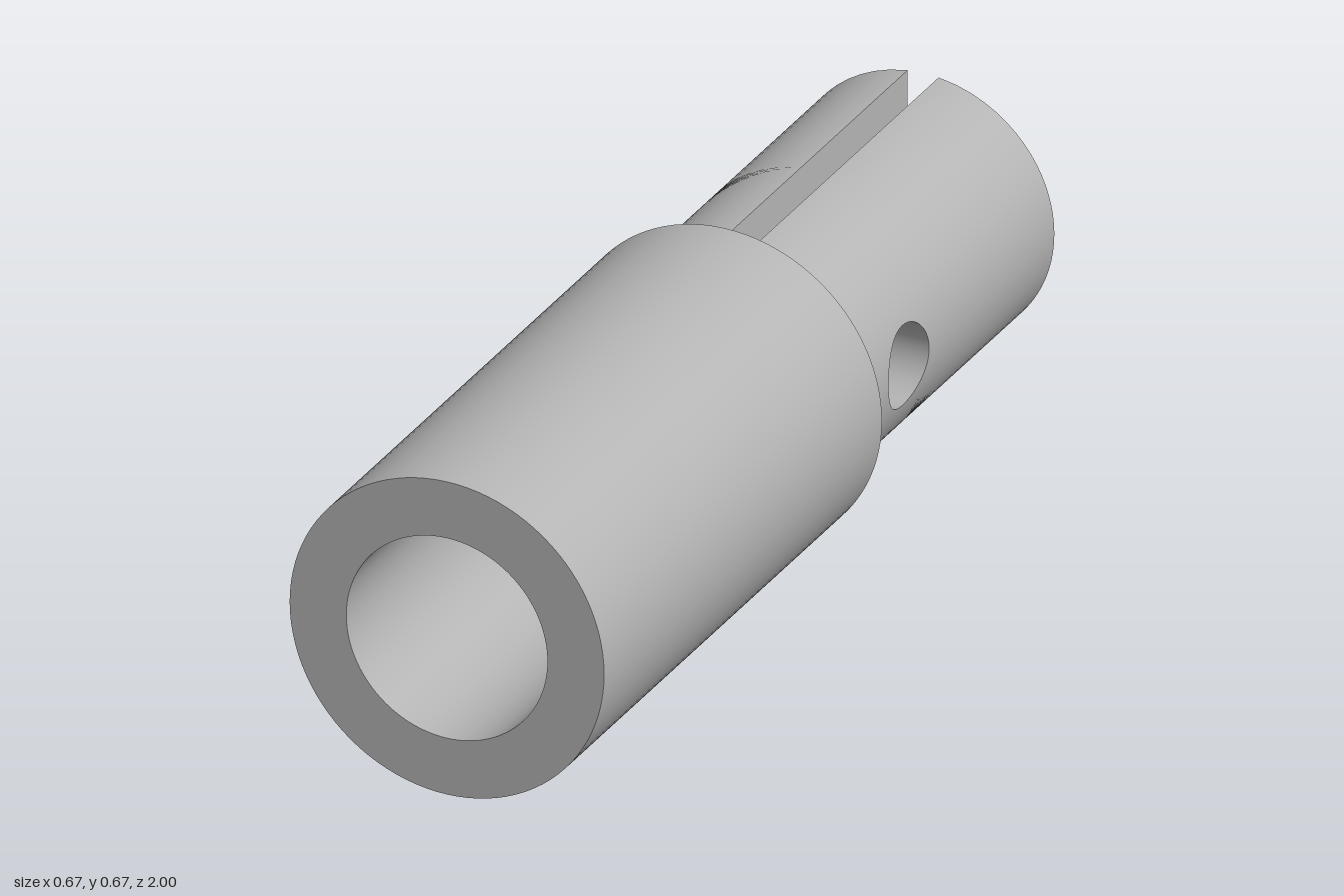
import * as THREE from 'three';
import { mergeGeometries } from 'three/addons/utils/BufferGeometryUtils.js';

const R = 0.333, STEM_R = 0.278, BORE_R = 0.213;      // radii
const STEP_Z = -0.167, FILLET = R - STEM_R, BORE_Z = 0; // lengthwise positions
const SLOT = 0.033, HOLE_R = 0.085, HOLE_Z = -0.389;  // slot half width, cross hole
const PATCH = STEP_Z - FILLET - HOLE_Z;               // half length of the area round the hole

// Grid surface; fn(u, v) returns a position and the outward normal
function surface(nu, nv, fn) {
  const pos = [], nor = [], uv = [], idx = [];
  const P = [], N = [];
  for (let j = 0; j <= nv; j++) for (let i = 0; i <= nu; i++) {
    const [p, n] = fn(i / nu, j / nv);
    n.normalize();
    P.push(p); N.push(n);
    pos.push(p.x, p.y, p.z); nor.push(n.x, n.y, n.z); uv.push(i / nu, j / nv);
  }
  const e1 = new THREE.Vector3(), e2 = new THREE.Vector3();
  const tri = (a, b, c) => {
    e1.subVectors(P[b], P[a]); e2.subVectors(P[c], P[a]); e1.cross(e2);
    const facing = e1.dot(N[a]) + e1.dot(N[b]) + e1.dot(N[c]);
    idx.push(...(facing < 0 ? [a, c, b] : [a, b, c]));
  };
  for (let j = 0; j < nv; j++) for (let i = 0; i < nu; i++) {
    const a = j * (nu + 1) + i, b = a + 1, c = a + nu + 1, d = c + 1;
    tri(a, b, d); tri(a, d, c);
  }
  const g = new THREE.BufferGeometry();
  g.setAttribute('position', new THREE.Float32BufferAttribute(pos, 3));
  g.setAttribute('normal', new THREE.Float32BufferAttribute(nor, 3));
  g.setAttribute('uv', new THREE.Float32BufferAttribute(uv, 2));
  g.setIndex(idx);
  return g;
}

const V = (x, y, z) => new THREE.Vector3(x, y, z);
const onRound = (r, t, z, nr = 1, nz = 0) =>
  [V(r * Math.cos(t), r * Math.sin(t), z), V(nr * Math.cos(t), nr * Math.sin(t), nz)];

// Straight tube wall, facing out (1) or in (-1)
const wall = (r, z0, z1, facing) => surface(96, 1, (u, v) =>
  onRound(r, u * Math.PI * 2, z0 + (z1 - z0) * v, facing));

// Edge angle of a slotted section, and angle samples shared by all prong strips
const edge = r => Math.acos(SLOT / r);
const spread = u => Math.tan((u * 2 - 1) * Math.PI / 4);

function prongOuter() {
  // Concave fillet against the sleeve
  const fillet = surface(32, 12, (u, v) => {
    const a = v * Math.PI / 2;
    const r = R - FILLET * Math.sin(a), z = STEP_Z - FILLET * (1 - Math.cos(a));
    return onRound(r, edge(r) * spread(u), z, Math.sin(a), -Math.cos(a));
  });
  // Area round the hole, running from the hole rim to a rectangle
  const T = edge(STEM_R);
  const patch = surface(128, 16, (u, v) => {
    const a = u * Math.PI * 2, c = Math.cos(a), s = Math.sin(a);
    const m = Math.max(Math.abs(c), Math.abs(s));
    const rim = Math.asin(HOLE_R * s / STEM_R);
    const z = HOLE_Z + THREE.MathUtils.lerp(HOLE_R * c, PATCH * c / m, v);
    return onRound(STEM_R, THREE.MathUtils.lerp(rim, T * s / m, v), z);
  });
  // Plain length to the end
  const tail = surface(32, 1, (u, v) =>
    onRound(STEM_R, T * spread(u), THREE.MathUtils.lerp(HOLE_Z - PATCH, -1, v)));
  return mergeGeometries([fillet, patch, tail]);
}

// Flat slot side, drawn as (-z, y) and turned to face -x
function prongInner() {
  const half = [];
  for (let i = 0; i <= 12; i++) {
    const a = i / 12 * Math.PI / 2, r = R - FILLET * Math.sin(a);
    half.push(new THREE.Vector2(-STEP_Z + FILLET * (1 - Math.cos(a)), Math.sqrt(r * r - SLOT * SLOT)));
  }
  half.push(new THREE.Vector2(1, Math.sqrt(STEM_R ** 2 - SLOT ** 2)));
  const mirrored = half.map(p => new THREE.Vector2(p.x, -p.y)).reverse();
  const shape = new THREE.Shape([...half, ...mirrored]);
  shape.holes.push(new THREE.Path().absarc(-HOLE_Z, 0, HOLE_R, 0, Math.PI * 2, true));
  const g = new THREE.ShapeGeometry(shape, 64);
  g.rotateY(Math.PI / 2);       // (x, y) -> z = -x, facing +x
  const index = g.index.array;  // turn the face round to -x
  for (let i = 0; i < index.length; i += 3) [index[i], index[i + 1]] = [index[i + 1], index[i]];
  g.computeVertexNormals();
  g.translate(SLOT, 0, 0);
  return g;
}

// D-shaped end face
const prongEnd = () => surface(48, 1, (u, v) => {
  const t = edge(STEM_R) * (u * 2 - 1);
  const x = THREE.MathUtils.lerp(SLOT, STEM_R * Math.cos(t), v);
  return [V(x, STEM_R * Math.sin(t), -1), V(0, 0, -1)];
});

// Wall of the cross hole
const holeWall = () => surface(128, 1, (u, v) => {
  const a = u * Math.PI * 2, y = HOLE_R * Math.sin(a);
  const x = THREE.MathUtils.lerp(SLOT, Math.sqrt(STEM_R ** 2 - y * y), v);
  return [V(x, y, HOLE_Z + HOLE_R * Math.cos(a)), V(0, -Math.sin(a), -Math.cos(a))];
});

export function createModel() {
  const metal = new THREE.MeshStandardMaterial({ color: 0xb4b4b4 });
  metal.name = 'grey metal';
  const model = new THREE.Group();
  model.name = 'slottedShaftAdapter';
  const add = (parent, name, geometry) => {
    const mesh = new THREE.Mesh(geometry, metal);
    mesh.name = name;
    parent.add(mesh);
    return mesh;
  };

  // Sleeve with a blind bore
  const sleeve = new THREE.Group();
  sleeve.name = 'sleeve';
  add(sleeve, 'sleeveWall', wall(R, 1, STEP_Z, 1));
  add(sleeve, 'boreWall', wall(BORE_R, 1, BORE_Z, -1));
  add(sleeve, 'sleeveRim', new THREE.RingGeometry(BORE_R, R, 96)).position.z = 1;
  add(sleeve, 'boreFloor', new THREE.CircleGeometry(BORE_R, 96)).position.z = BORE_Z;
  const slotEnd = add(sleeve, 'slotEnd', new THREE.CircleGeometry(R, 96));
  slotEnd.rotation.y = Math.PI;
  slotEnd.position.z = STEP_Z;
  model.add(sleeve);

  // Two half-round prongs, the second turned half way round the axis
  const parts = { Outer: prongOuter(), SlotSide: prongInner(), End: prongEnd(), HoleWall: holeWall() };
  ['left', 'right'].forEach((side, i) => {
    const prong = new THREE.Group();
    prong.name = side + 'Prong';
    for (const [part, geometry] of Object.entries(parts)) add(prong, prong.name + part, geometry);
    prong.rotation.z = i * Math.PI;
    model.add(prong);
  });

  model.children.forEach(part => { part.position.y = R; });
  return model;
}
